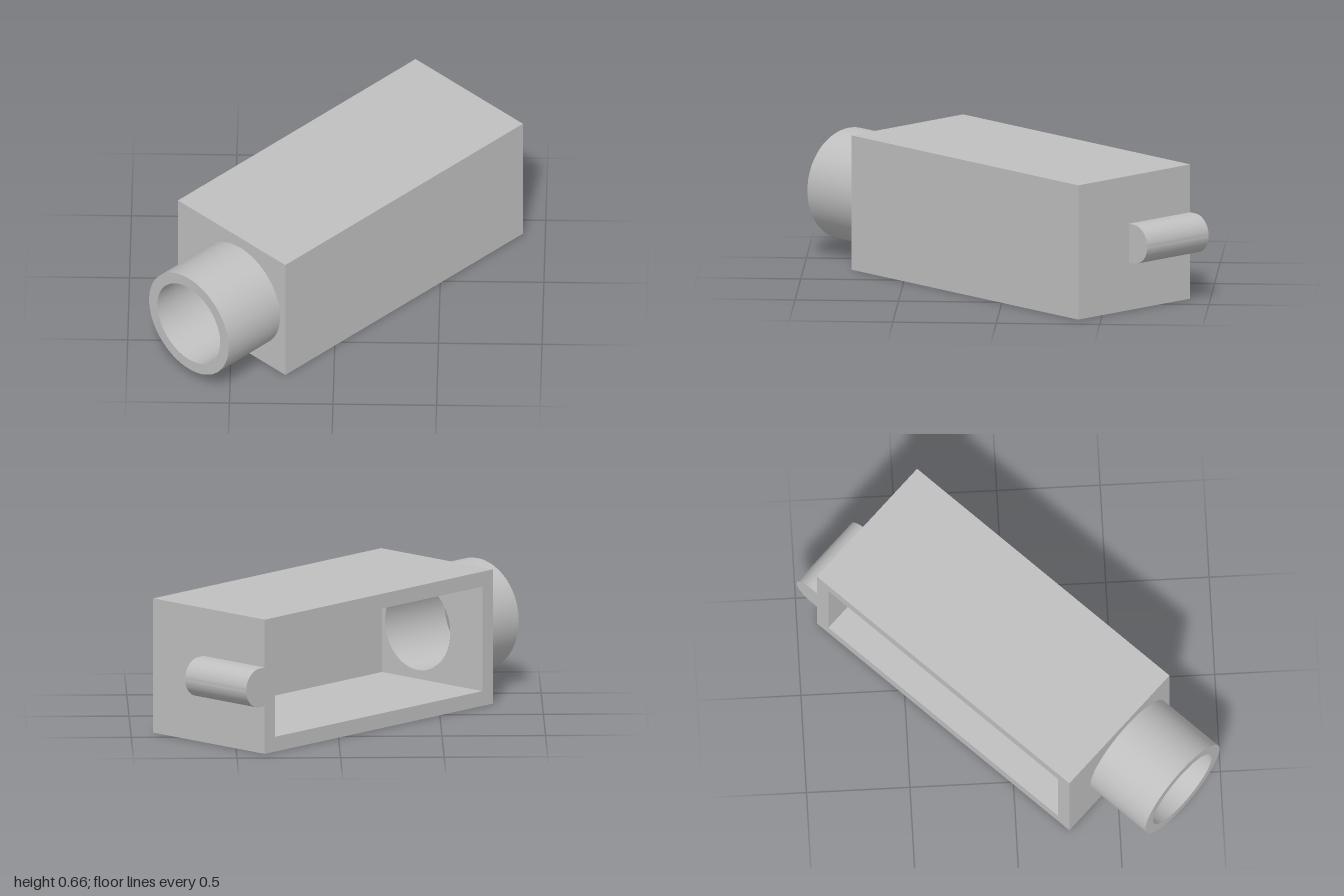
import * as THREE from 'three';
import { toCreasedNormals } from 'three/addons/utils/BufferGeometryUtils.js';

const L = 1.616, H = 0.662, W = 0.735, T = 0.073; // housing size and wall thickness
const R = 0.272, BORE = 0.215, TUBE = 0.351, TUBE_Z = 0.06;

export function createModel() {
  const grey = new THREE.MeshStandardMaterial({ color: 0xc0c0c0, side: THREE.DoubleSide });
  grey.name = 'plain grey';

  const model = new THREE.Group();
  model.name = 'model';
  const body = new THREE.Group();
  body.name = 'housing';
  body.position.set(0.065, H / 2, -0.067);
  body.rotation.y = 0.8;
  model.add(body);

  function add(name, geometry, pos, rot = [0, 0, 0]) {
    const mesh = new THREE.Mesh(geometry, grey);
    mesh.name = name;
    mesh.position.set(...pos);
    mesh.rotation.set(...rot);
    body.add(mesh);
  }

  const rect = (w, h, Type = THREE.Shape) => new Type([
    [-w / 2, -h / 2], [w / 2, -h / 2], [w / 2, h / 2], [-w / 2, h / 2],
  ].map(([x, y]) => new THREE.Vector2(x, y)));

  // Flat wall face, optionally pierced
  function panel(name, w, h, pos, rot, hole) {
    const shape = rect(w, h);
    if (hole) shape.holes.push(hole);
    add(name, new THREE.ShapeGeometry(shape, 48), pos, rot);
  }
  const boreHole = (x) => new THREE.Path().absarc(x, 0, BORE, 0, Math.PI * 2, true);

  const q = Math.PI / 2;
  const l = L - 2 * T, h = H - 2 * T, w = W - T; // cavity size
  const cz = -T / 2;                             // cavity centre

  // Outer faces
  panel('top', L, W, [0, H / 2, 0], [-q, 0, 0]);
  panel('bottom', L, W, [0, -H / 2, 0], [q, 0, 0]);
  panel('closedSide', L, H, [0, 0, W / 2], [0, 0, 0]);
  panel('openSideRim', L, H, [0, 0, -W / 2], [0, Math.PI, 0], rect(l, h, THREE.Path));
  panel('pinEnd', W, H, [L / 2, 0, 0], [0, q, 0]);
  panel('tubeEnd', W, H, [-L / 2, 0, 0], [0, -q, 0], boreHole(TUBE_Z));

  // Cavity faces
  panel('cavityCeiling', l, w, [0, h / 2, cz], [q, 0, 0]);
  panel('cavityFloor', l, w, [0, -h / 2, cz], [-q, 0, 0]);
  panel('cavityBack', l, h, [0, 0, W / 2 - T], [0, Math.PI, 0]);
  panel('cavityPinEnd', w, h, [l / 2, 0, cz], [0, -q, 0]);
  panel('cavityTubeEnd', w, h, [-l / 2, 0, cz], [0, q, 0], boreHole(cz - TUBE_Z));

  // Hollow tube opening into the cavity
  add('tubeOuter', new THREE.CylinderGeometry(R, R, TUBE, 64, 1, true),
    [-L / 2 - TUBE / 2, 0, TUBE_Z], [0, 0, q]);
  add('tubeBore', new THREE.CylinderGeometry(BORE, BORE, TUBE + T, 64, 1, true).scale(-1, 1, 1),
    [-L / 2 - TUBE / 2 + T / 2, 0, TUBE_Z], [0, 0, q]);
  add('tubeLip', new THREE.RingGeometry(BORE, R, 64),
    [-L / 2 - TUBE, 0, TUBE_Z], [0, -q, 0]);

  // Round-nosed pin across the far end
  const r = 0.095, neck = 0.036;
  const nose = new THREE.Shape();
  nose.moveTo(0, -r);
  nose.lineTo(neck, -r);
  nose.absarc(neck, 0, r, -q, q, false);
  nose.lineTo(0, r);
  const pin = new THREE.ExtrudeGeometry(nose, { depth: 0.403, bevelEnabled: false, curveSegments: 32 });
  add('pin', toCreasedNormals(pin, 0.5), [L / 2, 0, -W / 2]);

  return model;
}
